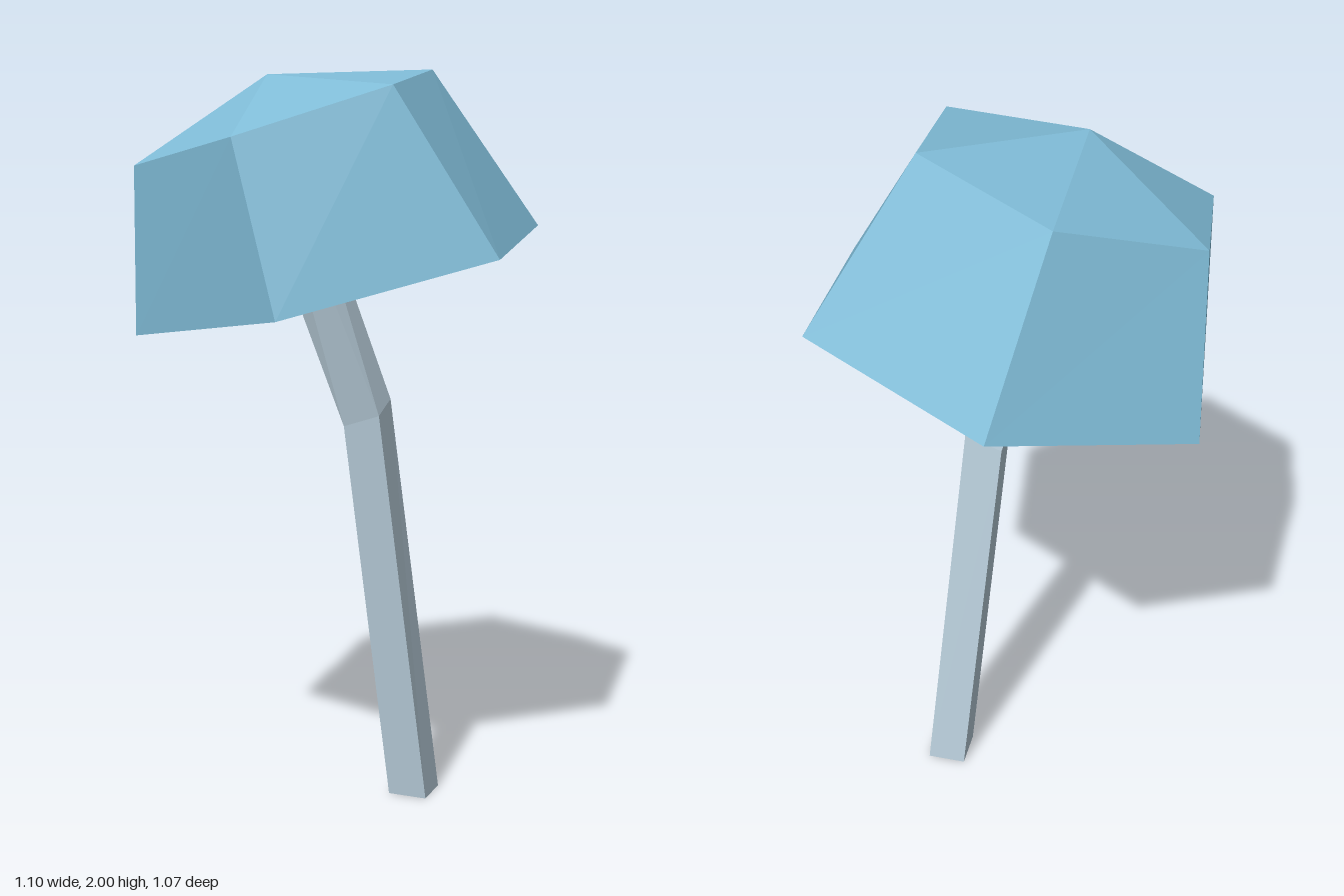
import * as THREE from 'three';

const deg = THREE.MathUtils.degToRad;

// A regular polygon, tipped up on its +x side, then turned about y.
function ring(sides, [x, y, z], radius, tilt, yaw) {
  const turn = new THREE.Euler(0, deg(-yaw), deg(tilt), 'YXZ');
  return Array.from({ length: sides }, (_, i) => {
    const t = (i / sides) * Math.PI * 2;
    return new THREE.Vector3(radius * Math.cos(t), 0, radius * Math.sin(t))
      .applyEuler(turn)
      .add(new THREE.Vector3(x, y, z));
  });
}

// Flat-sided skin through rings, bottom to top, with optional fans at the ends.
function loft(rings, bottomPoint, topPoint) {
  const positions = [];
  const tri = (...pts) => pts.forEach((p) => positions.push(p.x, p.y, p.z));
  const n = rings[0].length;
  const last = rings[rings.length - 1];
  for (let i = 0; i < n; i++) {
    const j = (i + 1) % n;
    for (let k = 0; k < rings.length - 1; k++) {
      const lower = rings[k], upper = rings[k + 1];
      tri(lower[i], upper[i], lower[j]);
      tri(lower[j], upper[i], upper[j]);
    }
    if (bottomPoint) tri(rings[0][i], rings[0][j], bottomPoint);
    if (topPoint) tri(last[i], topPoint, last[j]);
  }
  const geometry = new THREE.BufferGeometry();
  geometry.setAttribute('position', new THREE.Float32BufferAttribute(positions, 3));
  geometry.computeVertexNormals();
  return geometry;
}

export function createModel() {
  const group = new THREE.Group();
  group.name = 'mushroom';

  const capBlue = new THREE.MeshStandardMaterial({ color: 0x7fbbd6, side: THREE.DoubleSide, flatShading: true });
  capBlue.name = 'cap blue';
  const stemGrey = new THREE.MeshStandardMaterial({ color: 0xb9cedb, flatShading: true });
  stemGrey.name = 'pale stem grey';

  // Hollow six-sided cap, open underneath
  const cap = new THREE.Mesh(
    loft(
      [
        ring(6, [0, 1.447, 0], 0.573, 14.2, 9.7),
        ring(6, [-0.158, 1.873, -0.005], 0.417, 17.7, 10.5),
      ],
      null,
      new THREE.Vector3(-0.21, 1.98, 0),
    ),
    capBlue,
  );
  cap.name = 'cap';

  // Bent four-sided stem, slightly twisted towards the top
  const base = [0.192, 0, 0.07];
  const tip = [-0.26, 1.9, 0.052];
  const stem = new THREE.Mesh(
    loft(
      [
        ring(4, base, 0.077, 0, 0),
        ring(4, [0.0325, 1.095, 0.098], 0.076, 26, 0),
        ring(4, tip, 0.075, 20, 20),
      ],
      new THREE.Vector3(...base),
      new THREE.Vector3(...tip),
    ),
    stemGrey,
  );
  stem.name = 'stem';

  group.add(cap, stem);
  return group;
}
